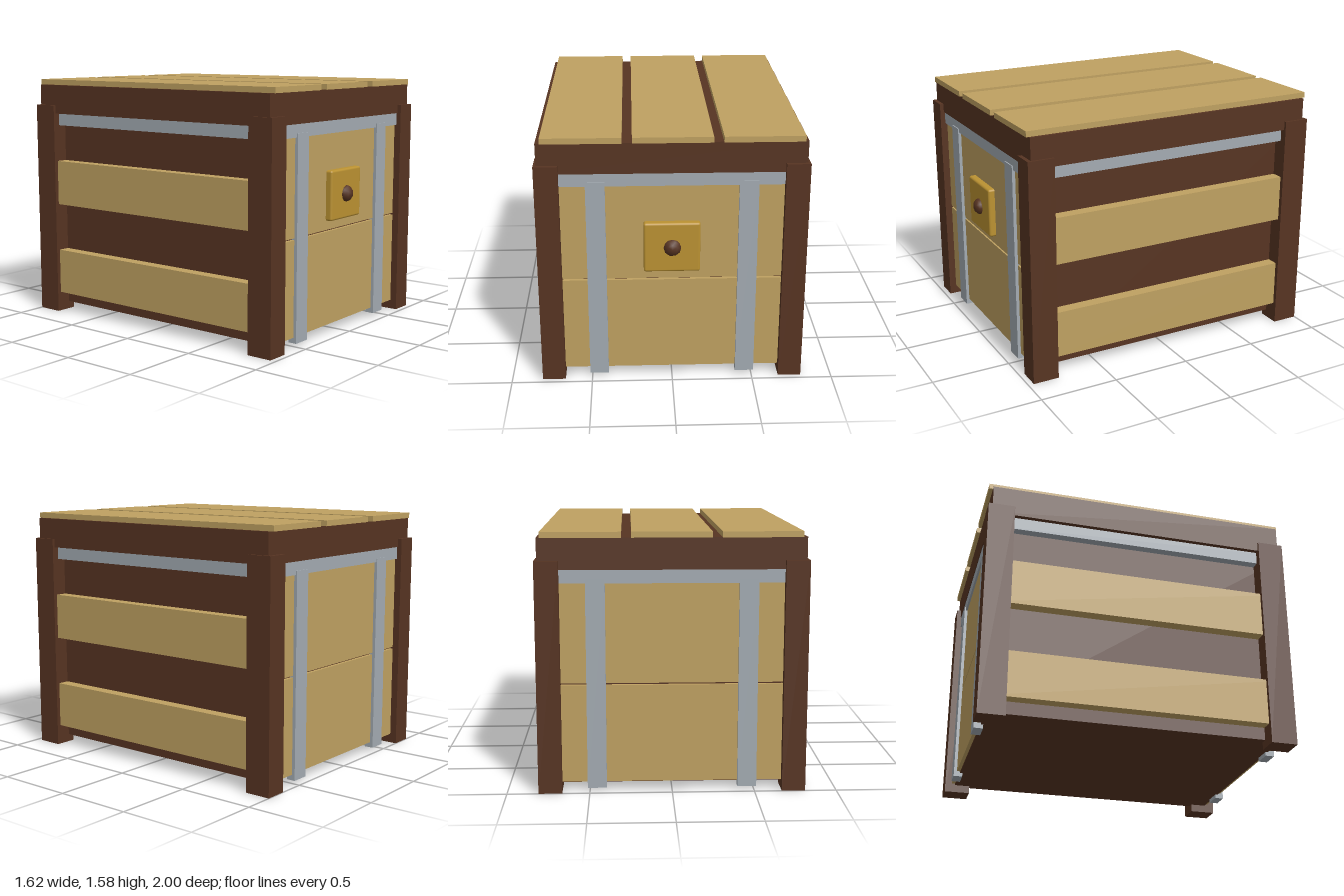
import * as THREE from 'three';
import { RoundedBoxGeometry } from 'three/addons/geometries/RoundedBoxGeometry.js';

const material = (name, color, flatShading = false) => {
  const m = new THREE.MeshStandardMaterial({ color, flatShading });
  m.name = name;
  return m;
};

export function createModel() {
  const darkWood = material('dark wood', 0x573422);
  const paleWood = material('pale wood', 0xbfa161);
  const steel = material('steel', 0xa3abb2);
  const brass = material('brass', 0xbb9232);

  const crate = new THREE.Group();
  crate.name = 'crate';
  // The crate body sits slightly behind the origin because of the knob
  const body = new THREE.Group();
  body.name = 'body';
  body.position.z = -0.0175;
  crate.add(body);

  // Box given by its extents along each axis
  const box = (name, mat, [x0, x1], [y0, y1], [z0, z1]) => {
    const mesh = new THREE.Mesh(new THREE.BoxGeometry(x1 - x0, y1 - y0, z1 - z0), mat);
    mesh.position.set((x0 + x1) / 2, (y0 + y1) / 2, (z0 + z1) / 2);
    mesh.name = name;
    body.add(mesh);
    return mesh;
  };
  // Orders the extents of a range mirrored to the given side
  const side = (s, a, b) => (s > 0 ? [a, b] : [-b, -a]);

  // Inner box and metal band under the lid
  box('core', darkWood, [-0.71, 0.71], [0.05, 1.3], [-0.915, 0.915]);
  box('band', steel, [-0.765, 0.765], [1.275, 1.355], [-0.95, 0.95]);

  // Corner posts
  for (const sx of [-1, 1])
    for (const sz of [-1, 1])
      box('cornerPost', darkWood, side(sx, 0.667, 0.81), [0, 1.41], side(sz, 0.815, 0.982));

  // End boards and their metal straps, front and back
  for (const sz of [-1, 1]) {
    for (const y of [[0.06, 0.66], [0.672, 1.28]])
      box('endBoard', paleWood, [-0.7, 0.7], y, side(sz, 0.88, 0.937));
    for (const sx of [-1, 1])
      box('strap', steel, side(sx, 0.397, 0.513), [0.025, 1.3], side(sz, 0.9, 0.957));
  }

  // Slats on the two long sides
  for (const sx of [-1, 1])
    for (const y of [[0.13, 0.425], [0.74, 1.035]])
      box('sideSlat', paleWood, side(sx, 0.7, 0.785), y, [-0.9, 0.9]);

  // Lid with three planks
  box('lid', darkWood, [-0.794, 0.794], [1.355, 1.545], [-0.955, 0.957]);
  for (const x of [-0.53, 0.003, 0.537])
    box('lidPlank', paleWood, [x - 0.237, x + 0.237], [1.545, 1.58], [-0.978, 0.973]);

  // Lock plate with softened edges
  const plate = new THREE.Mesh(new RoundedBoxGeometry(0.34, 0.316, 0.07, 2, 0.014), brass);
  plate.name = 'lockPlate';
  plate.position.set(-0.002, 0.888, 0.926);
  crate.add(plate);

  // Faceted knob
  const knob = new THREE.Mesh(new THREE.IcosahedronGeometry(0.054, 1), darkWood.clone());
  knob.material = darkWood;
  knob.geometry.scale(1, 1, 0.8);
  knob.name = 'knob';
  knob.position.set(0, 0.888, 0.957);
  crate.add(knob);

  return crate;
}
